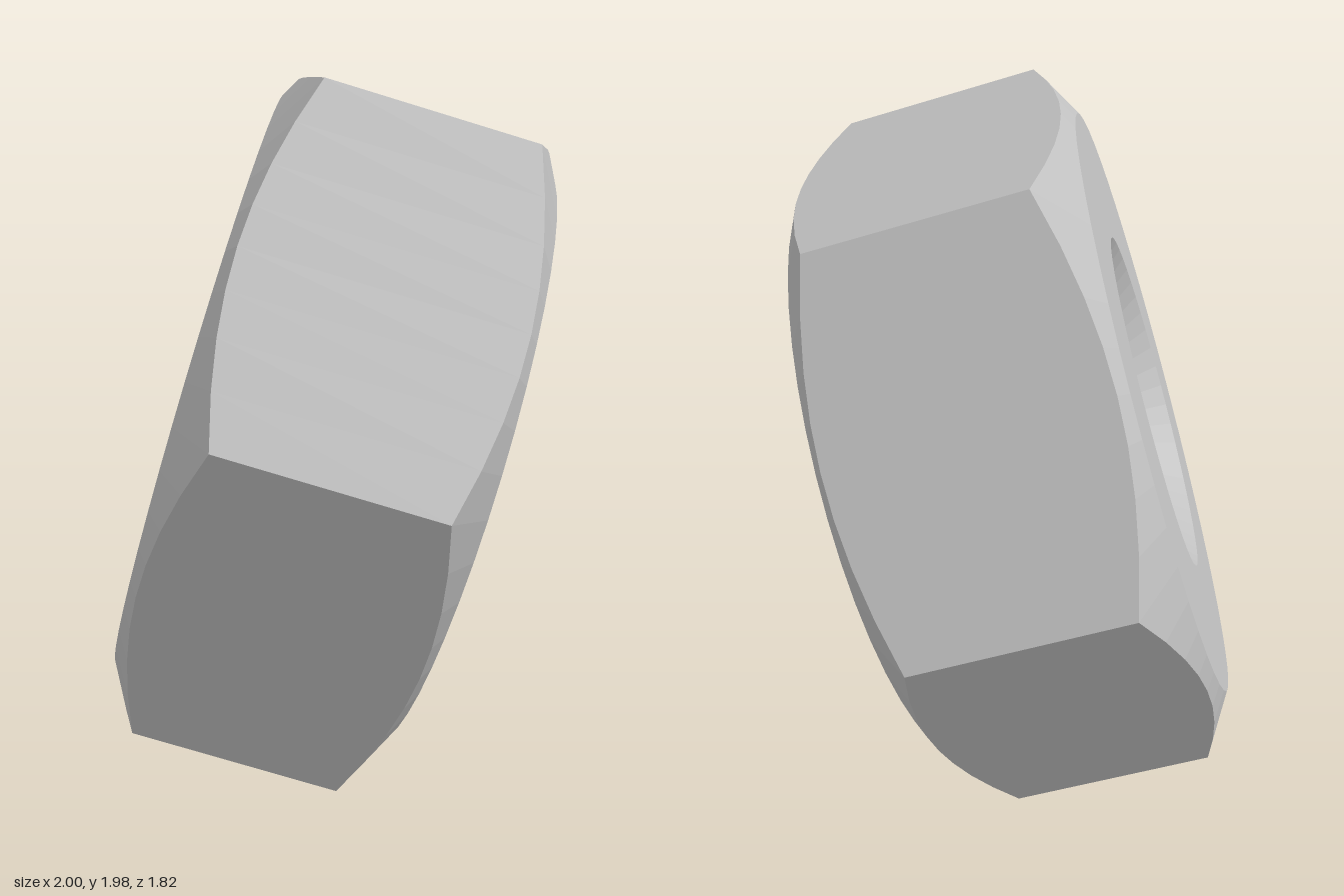
import * as THREE from 'three';

const SEGMENTS = 48;        // multiple of 6, so that corners fall on a step
const CORNER = 1.064;       // hexagon corner radius
const APOTHEM = CORNER * Math.cos(Math.PI / 6);
const HALF = 0.403;         // half thickness
const FACE = 0.874;         // radius of the flat face circle
const BORE = 0.418, BORE_RIM = 0.503, BORE_HALF = 0.317;

// Distance from the axis to the hexagon side at an angle (corner at angle 0)
function hexRadius(angle) {
  const step = Math.PI / 3;
  return APOTHEM / Math.cos((angle % step) - step / 2);
}

// Height of the 30 degree conical chamfer at a radius
const chamferHeight = (r) => HALF - (r - FACE) * Math.tan(Math.PI / 6);

// Sweeps a profile of [radius, z], which may vary with the angle, round the z axis
function sweep(profile) {
  const positions = [];
  const point = ([r, z], angle) => [r * Math.cos(angle), r * Math.sin(angle), z];
  for (let i = 0; i < SEGMENTS; i++) {
    const a0 = (i / SEGMENTS) * Math.PI * 2;
    const a1 = ((i + 1) % SEGMENTS / SEGMENTS) * Math.PI * 2;
    const p0 = profile(a0), p1 = profile(a1);
    for (let j = 0; j < p0.length - 1; j++) {
      const a = point(p0[j], a0), b = point(p1[j], a1);
      const c = point(p1[j + 1], a1), d = point(p0[j + 1], a0);
      positions.push(...a, ...b, ...c, ...a, ...c, ...d);
    }
  }
  const geometry = new THREE.BufferGeometry();
  geometry.setAttribute('position', new THREE.Float32BufferAttribute(positions, 3));
  geometry.computeVertexNormals();
  return geometry;
}

export function createModel() {
  const steel = new THREE.MeshStandardMaterial({ color: 0xc0c0c0, flatShading: true });
  steel.name = 'steel grey';

  const nut = new THREE.Group();
  nut.name = 'hexNut';
  const add = (name, profile) => {
    const mesh = new THREE.Mesh(sweep(profile), steel);
    mesh.name = name;
    nut.add(mesh);
  };

  // Six side walls, cut by the chamfer cones into curved edges
  add('hexSides', (t) => {
    const r = hexRadius(t), h = chamferHeight(r);
    return [[r, -h], [r, h]];
  });
  // Conical corner chamfers and flat ring faces
  add('frontChamfer', (t) => {
    const r = hexRadius(t);
    return [[r, chamferHeight(r)], [FACE, HALF]];
  });
  add('backChamfer', (t) => {
    const r = hexRadius(t);
    return [[FACE, -HALF], [r, -chamferHeight(r)]];
  });
  add('frontFace', () => [[FACE, HALF], [BORE_RIM, HALF]]);
  add('backFace', () => [[BORE_RIM, -HALF], [FACE, -HALF]]);
  // Through hole with countersunk rims
  add('bore', () => [[BORE_RIM, HALF], [BORE, BORE_HALF], [BORE, -BORE_HALF], [BORE_RIM, -HALF]]);

  // Tilt: z along the hole axis, x toward one corner
  const axis = new THREE.Vector3(-0.62, 0.288, 0.729).normalize();
  const side = new THREE.Vector3().crossVectors(axis, new THREE.Vector3(0.563, 0.895, 0.118)).normalize();
  const corner = new THREE.Vector3().crossVectors(side, axis);
  nut.quaternion.setFromRotationMatrix(new THREE.Matrix4().makeBasis(corner, side, axis));
  nut.position.y = 1;

  const model = new THREE.Group();
  model.name = 'model';
  model.add(nut);
  return model;
}
